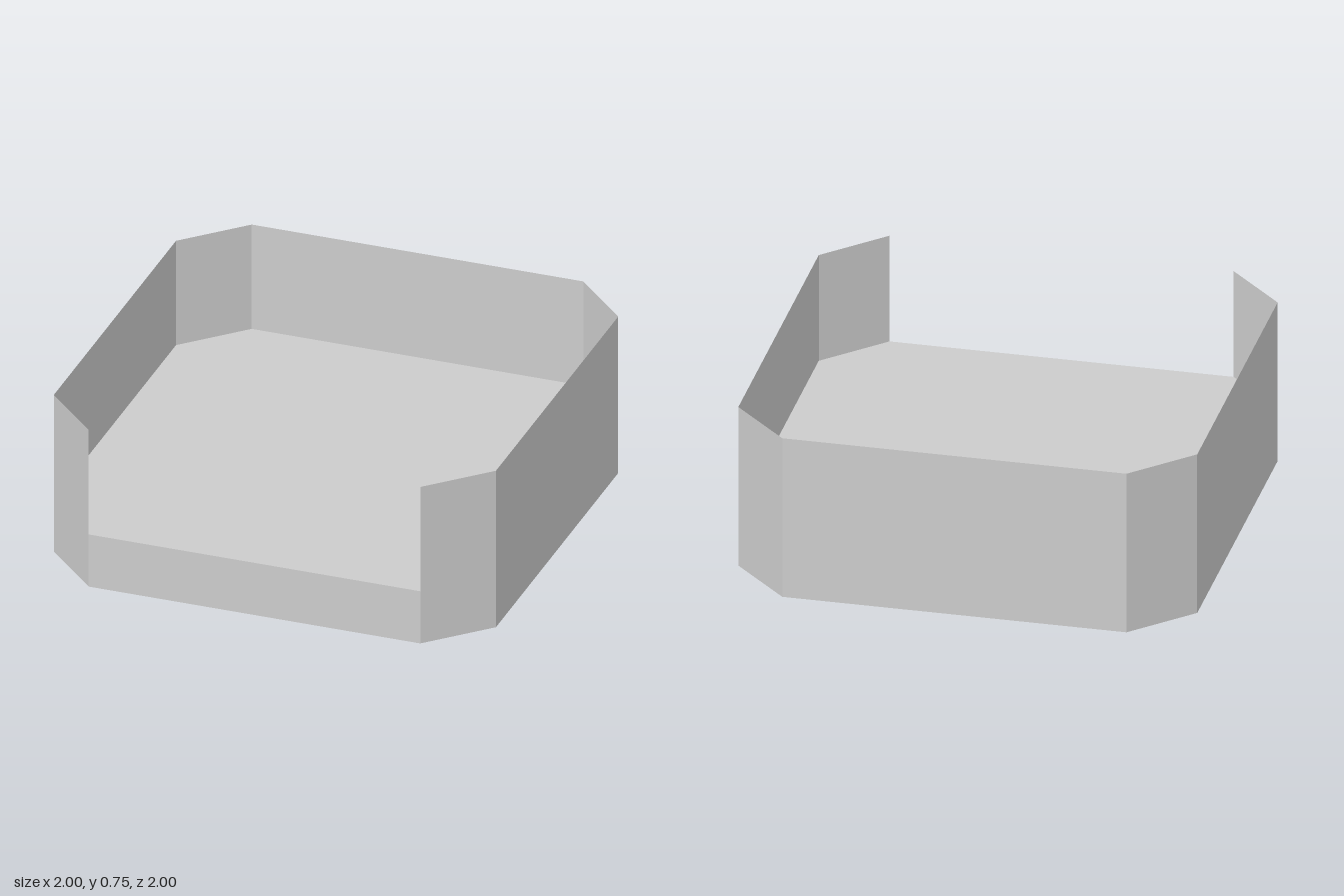
import * as THREE from 'three';

const HEIGHT = 0.75;
const FLOOR = 0.25;

// Square footprint with cut corners, starting at the front edge
const OUTLINE = [
  [-0.75, 1], [0.75, 1], [1, 0.75], [1, -0.75],
  [0.75, -1], [-0.75, -1], [-1, -0.75], [-1, 0.75],
];
const WALLS = [
  'frontSill', 'frontLeftCorner', 'leftWall', 'backLeftCorner',
  'backWall', 'backRightCorner', 'rightWall', 'frontRightCorner',
];

export function createModel() {
  const model = new THREE.Group();
  model.name = 'openTray';
  const material = new THREE.MeshStandardMaterial({
    color: 0xcccccc, flatShading: true, side: THREE.DoubleSide,
  });

  const add = (name, geometry) => {
    const mesh = new THREE.Mesh(geometry, material);
    mesh.name = name;
    model.add(mesh);
    return mesh;
  };

  // Thin upright panels; the front one only reaches the raised floor
  OUTLINE.forEach(([x0, z0], i) => {
    const [x1, z1] = OUTLINE[(i + 1) % OUTLINE.length];
    const h = i === 0 ? FLOOR : HEIGHT;
    const panel = add(WALLS[i], new THREE.PlaneGeometry(Math.hypot(x1 - x0, z1 - z0), h));
    panel.position.set((x0 + x1) / 2, h / 2, (z0 + z1) / 2);
    panel.rotation.y = Math.atan2(-(z1 - z0), x1 - x0);
  });

  // Raised floor and closed underside
  const shape = new THREE.Shape(OUTLINE.map(([x, z]) => new THREE.Vector2(x, -z)));
  add('floor', new THREE.ShapeGeometry(shape).rotateX(-Math.PI / 2)).position.y = FLOOR;
  add('underside', new THREE.ShapeGeometry(shape).rotateX(Math.PI / 2));

  return model;
}
